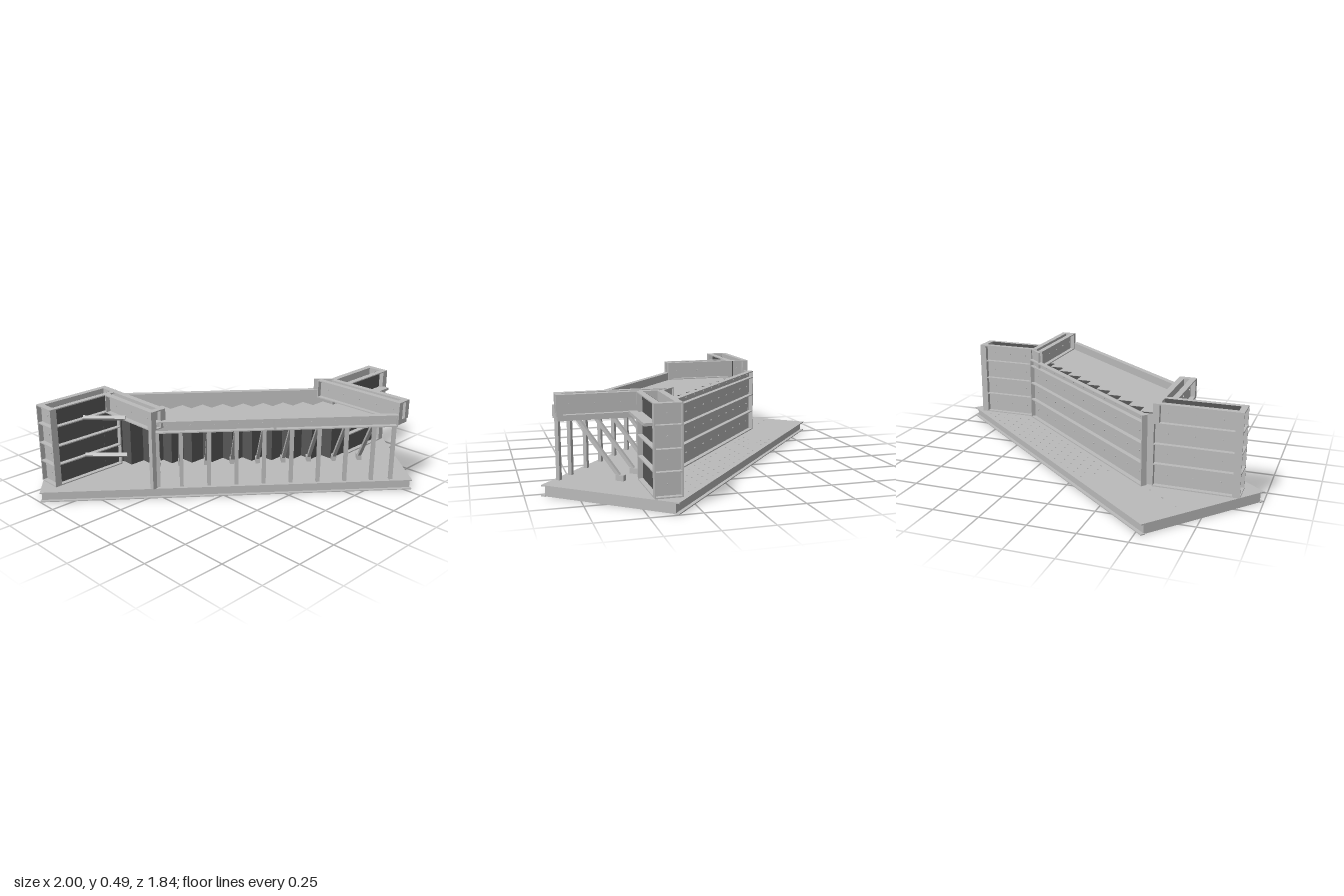
import * as THREE from 'three';

const steel = new THREE.MeshStandardMaterial({ color: 0xbbbbbb });
steel.name = 'steel grey';
const dark = new THREE.MeshStandardMaterial({ color: 0x565656 });
dark.name = 'dark sheet';

function add(parent, name, geometry, x, y, z, material = steel) {
  const mesh = new THREE.Mesh(geometry, material);
  mesh.name = name;
  mesh.position.set(x, y, z);
  parent.add(mesh);
  return mesh;
}

// Box given by its low and high corners
function box(parent, name, x0, x1, y0, y1, z0, z1, material = steel) {
  return add(parent, name, new THREE.BoxGeometry(x1 - x0, y1 - y0, z1 - z0),
    (x0 + x1) / 2, (y0 + y1) / 2, (z0 + z1) / 2, material);
}

// Square bar between two points
function bar(parent, name, a, b, size) {
  const p = new THREE.Vector3(...a), q = new THREE.Vector3(...b);
  const mesh = add(parent, name, new THREE.BoxGeometry(size, p.distanceTo(q), size), 0, 0, 0);
  mesh.position.copy(p).lerp(q, 0.5);
  mesh.quaternion.setFromUnitVectors(new THREE.Vector3(0, 1, 0), q.sub(p).normalize());
}

const boltGeometry = new THREE.CylinderGeometry(0.005, 0.005, 0.005, 8);

// Stacked channels from a to b; the open side faces to the right of the run seen from above
function channelWall(parent, name, a, b, levels, { depth = 0.032, web = steel, bolts = true } = {}) {
  const dx = b[0] - a[0], dz = b[1] - a[1], length = Math.hypot(dx, dz), t = 0.006;
  const wall = new THREE.Group();
  wall.name = name;
  wall.position.set(a[0], 0, a[1]);
  wall.rotation.y = -Math.atan2(dz, dx);
  parent.add(wall);
  const low = levels[0], high = levels[levels.length - 1];
  box(wall, 'web', 0, length, low, high, -depth, -depth + t, web);
  for (const y of levels) {
    const c = Math.min(Math.max(y, low + t / 2), high - t / 2);
    box(wall, 'flange', 0, length, c - t / 2, c + t / 2, -depth + 0.001, 0);
  }
  for (const x of [0, length - t]) box(wall, 'endStile', x, x + t, low, high, -depth + 0.001, 0);
  if (!bolts) return;
  const count = Math.max(1, Math.round(length / 0.12));
  for (let i = 0; i < levels.length - 1; i++) {
    for (let k = 0; k < count; k++) {
      const bolt = add(wall, 'bolt', boltGeometry, (k + 0.5) * length / count,
        (levels[i] + levels[i + 1]) / 2, -depth + t + 0.002);
      bolt.rotation.x = Math.PI / 2;
    }
  }
}

// Base plate with drilled holes, edge channels and cross ribs underneath
function buildBase(g) {
  const w = 0.3635;
  const plate = new THREE.Shape([[-1, -w], [1, -w], [1, w], [-1, w]].map(p => new THREE.Vector2(...p)));
  const hole = (u, v) => plate.holes.push(new THREE.Path().absarc(u, v, 0.005, 0, Math.PI * 2, true));
  for (let row = 0; row < 5; row++) {
    for (let k = 0; k < 17; k++) hole(-0.38 + k * 0.075 + (row % 2) * 0.037, -0.165 - row * 0.041);
  }
  for (let k = 0; k < 3; k++) hole(-0.92 + k * 0.11, -0.115);
  const top = add(g, 'basePlate',
    new THREE.ExtrudeGeometry(plate, { depth: 0.006, bevelEnabled: false, curveSegments: 4 }), 0, 0.056, 0);
  top.rotation.x = Math.PI / 2;
  for (const s of [-1, 1]) {
    const web = s * 0.345, edge = s * w, inner = s * 0.34;
    box(g, 'baseWeb', -0.992, 0.992, 0.003, 0.05, Math.min(web, inner), Math.max(web, inner));
    box(g, 'baseFlange', -1, 1, 0, 0.005, Math.min(inner, edge), Math.max(inner, edge));
    box(g, 'baseEnd', s * 0.99 - 0.003, s * 0.99 + 0.003, 0, 0.05, -0.345, 0.345);
  }
  for (let i = -5; i <= 5; i++) {
    const u = i * 0.173 - 0.01;
    box(g, 'baseRib', u - 0.003, u + 0.003, 0.002, 0.05, -0.34, 0.34);
  }
}

// Front beam in two lengths, its posts and the raking braces
function buildFrontFrame(g) {
  channelWall(g, 'frontBeamA', [-0.39, 0.352], [0.243, 0.352], [0.365, 0.43]);
  channelWall(g, 'frontBeamB', [0.243, 0.352], [0.9, 0.352], [0.365, 0.43]);
  const stations = [-0.375, 0.885];
  for (let i = 0; i < 8; i++) stations.push(0.777 - i * 0.147);
  for (const u of stations) {
    box(g, 'frontPost', u - 0.01, u + 0.01, 0.056, 0.37, 0.325, 0.345);
    if (u < 0.85) {
      bar(g, 'brace', [u, 0.365, 0.305], [u, 0.08, 0.06], 0.018);
      box(g, 'braceFoot', u - 0.012, u + 0.012, 0.056, 0.085, 0.03, 0.075);
    }
  }
}

const wallLevels = [0.056, 0.175, 0.28, 0.39, 0.492];

// Hollow wing with open top: dark front sheet, steel back and outer end
function buildWing(g, name, x0, x1, z0, z1, outer) {
  const wing = new THREE.Group();
  wing.name = name;
  g.add(wing);
  const d = 0.032;
  const fa = outer < 0 ? x0 + d : x0, fb = outer < 0 ? x1 : x1 - d;
  channelWall(wing, 'frontWall', [fa, z1], [fb, z1], wallLevels, { web: dark, bolts: false });
  channelWall(wing, 'backWall', [fb, z0], [fa, z0], wallLevels);
  if (outer < 0) channelWall(wing, 'endWall', [x0, z0], [x0, z1], wallLevels);
  else channelWall(wing, 'endWall', [x1, z1], [x1, z0], wallLevels);
}

// Jagged deck edge, stepping forward and sideways
function steps() {
  const points = [[-0.425, -0.387]];
  const n = 11, sx = 0.0873, sz = 0.0737;
  for (let i = 0; i < n; i++) {
    const [x, z] = points[points.length - 1];
    points.push([x, z + sz]);
    if (i < n - 1) points.push([x + sx, z + sz]);
  }
  return points;
}

function buildDeck(g) {
  const edge = steps();
  const outline = [[-0.5, -0.387], ...edge, [0.52, 0.424], [0.52, 0.83], [0.46, 0.81], [-0.5, 0.005]];
  const shape = new THREE.Shape(outline.map(p => new THREE.Vector2(p[0], p[1])));
  const deck = add(g, 'deck', new THREE.ExtrudeGeometry(shape, { depth: 0.02, bevelEnabled: false }), 0, 0.386, 0);
  deck.rotation.x = Math.PI / 2;
  // Stepped sheet wall under the jagged edge
  const run = [[-0.55, -0.387], ...edge, [0.57, 0.424]];
  for (let i = 0; i < run.length - 1; i++) {
    const [ax, az] = run[i], [bx, bz] = run[i + 1], h = 0.002;
    box(g, 'steppedWall', Math.min(ax, bx) - h, Math.max(ax, bx) + h, 0.056, 0.384,
      Math.min(az, bz) - h, Math.max(az, bz) + h, dark);
  }
}

// Raised channel curbs on both ends of the deck
function buildArms(g) {
  const y = [0.388, 0.492];
  channelWall(g, 'leftCurbInner', [-0.455, 0.03], [-0.455, -0.49], y);
  channelWall(g, 'leftCurbOuter', [-0.55, -0.36], [-0.55, 0.03], y);
  channelWall(g, 'leftCurbEnd', [-0.55, 0.03], [-0.455, 0.03], y);
  box(g, 'leftCurbPost', -0.548, -0.522, 0.056, 0.39, 0.0, 0.026);
  channelWall(g, 'rightCurbOuter', [0.565, 0.84], [0.565, 0.34], y);
  channelWall(g, 'rightCurbInner', [0.475, 0.285], [0.475, 0.84], y);
  channelWall(g, 'rightCurbEnd', [0.475, 0.84], [0.565, 0.84], y);
  channelWall(g, 'rightCurbBack', [0.572, 0.33], [0.485, 0.25], y, { depth: 0.012, bolts: false });
  box(g, 'rightBearer', 0.48, 0.56, 0.365, 0.388, 0.43, 0.835);
  box(g, 'rightLedge', 0.565, 0.885, 0.386, 0.4, 0.455, 0.495);
  // Level corner braces between the left wing and the deck
  for (const h of [0.185, 0.4]) bar(g, 'cornerBrace', [-0.7, h, -0.36], [-0.54, h, -0.2], 0.02);
  // Plates closing the corners between the wings and the back wall
  box(g, 'cornerPlate', -0.46, -0.4, 0.056, 0.43, -0.472, -0.464);
  box(g, 'cornerPlate', 0.54, 0.572, 0.056, 0.43, 0.342, 0.35);
}

export function createModel() {
  const model = new THREE.Group();
  model.name = 'retainingPlatform';

  // Parts that follow the slanted base
  const slanted = new THREE.Group();
  slanted.name = 'slantedStructure';
  slanted.rotation.y = -40 * Math.PI / 180;
  model.add(slanted);
  buildBase(slanted);
  buildFrontFrame(slanted);
  channelWall(slanted, 'backWall', [0.636, -0.13], [-0.64, -0.13], [0.056, 0.175, 0.28, 0.39, 0.43]);

  // Parts square to the axes
  buildWing(model, 'rightWing', -0.9, -0.455, -0.49, -0.36, -1);
  buildWing(model, 'leftWing', 0.565, 0.918, 0.32, 0.455, 1);
  buildDeck(model);
  buildArms(model);
  return model;
}
